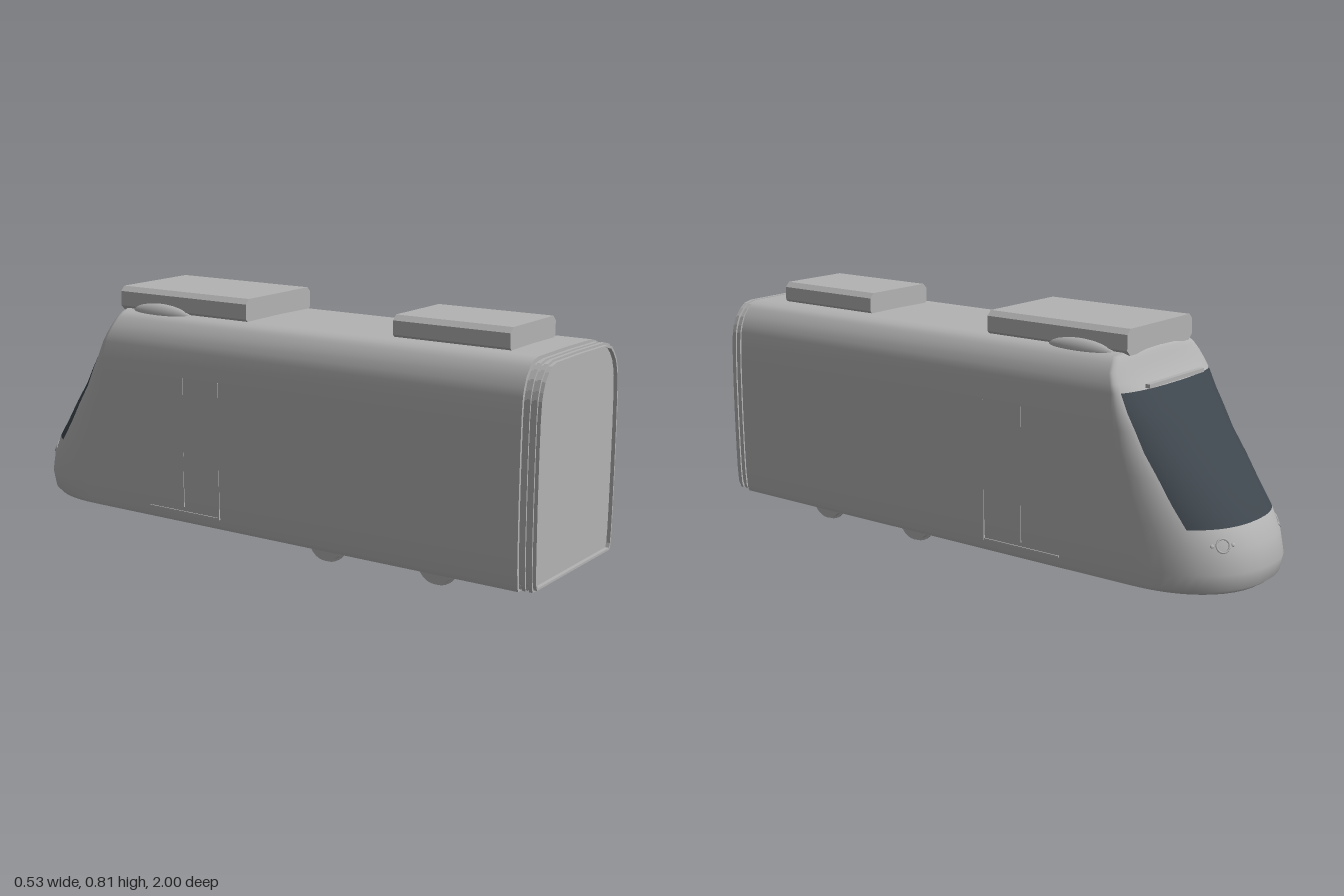
import * as THREE from 'three';

const grey = new THREE.MeshStandardMaterial({ color: 0xb3b3b3 });
grey.name = 'bodyGrey';
const glass = new THREE.MeshStandardMaterial({ color: 0x3f474e });
glass.name = 'windscreenDark';

// Body levels: height, half width, nose z, depth of the rounded nose corner
const LEVELS = [
  [0.065, 0.25, -0.97, 0.3], [0.08, 0.256, -0.99, 0.3], [0.13, 0.26, -1, 0.3],
  [0.2, 0.262, -0.985, 0.3], [0.26, 0.263, -0.952, 0.28], [0.33, 0.264, -0.9, 0.25],
  [0.4, 0.264, -0.848, 0.21], [0.47, 0.264, -0.79, 0.17], [0.53, 0.263, -0.745, 0.13],
  [0.58, 0.262, -0.705, 0.1], [0.635, 0.258, -0.66, 0.06], [0.66, 0.252, -0.642, 0.05],
  [0.69, 0.24, -0.625, 0.045], [0.715, 0.22, -0.614, 0.04], [0.73, 0.203, -0.607, 0.04],
  [0.738, 0.17, -0.602, 0.03], [0.74, 0, -0.6, 0.02],
];
const GLASS_LOW = 4, GLASS_HIGH = 10, BACK = 0.945;
const PILLAR = 5, SCREEN = 14;

const levelAt = (y) => {
  const i = LEVELS.findIndex((l) => l[0] > y);
  const a = LEVELS[i - 1], b = LEVELS[i];
  const k = (y - a[0]) / (b[0] - a[0]);
  return a.map((v, n) => v + (b[n] - v) * k);
};

// Superellipse plan of the nose; t runs from +90 to -90 degrees
const nosePoint = ([y, w, zf, depth], t) => new THREE.Vector3(
  Math.sign(t) * w * Math.pow(Math.abs(Math.sin(t)), 0.87),
  y,
  zf + depth * (1 - Math.pow(Math.max(0, Math.cos(t)), 0.87)),
);

// One horizontal outline of the body, from the back of one side round the nose
function outline(level) {
  const k = THREE.MathUtils.clamp((level[0] - 0.26) / 0.375, 0, 1);
  const edge = THREE.MathUtils.degToRad(55 + 14 * k), half = Math.PI / 2;
  const pts = [new THREE.Vector3(level[1], level[0], BACK)];
  for (let i = 0; i < PILLAR; i++) pts.push(nosePoint(level, half + (edge - half) * i / PILLAR));
  for (let i = 0; i <= SCREEN; i++) pts.push(nosePoint(level, edge - 2 * edge * i / SCREEN));
  for (let i = 1; i <= PILLAR; i++) pts.push(nosePoint(level, -edge - (half - edge) * i / PILLAR));
  pts.push(new THREE.Vector3(-level[1], level[0], BACK));
  return pts;
}

function shellGeometry() {
  const rings = LEVELS.map(outline), n = rings[0].length;
  const skin = [], screen = [];
  for (let i = 0; i < rings.length - 1; i++) {
    for (let j = 0; j < n - 1; j++) {
      const a = i * n + j, b = a + 1, c = b + n, d = a + n;
      const isGlass = i >= GLASS_LOW && i < GLASS_HIGH && j > PILLAR && j <= PILLAR + SCREEN;
      (isGlass ? screen : skin).push(a, b, c, a, c, d);
    }
  }
  const g = new THREE.BufferGeometry().setFromPoints(rings.flat());
  g.setIndex([...skin, ...screen]);
  g.addGroup(0, skin.length, 0);
  g.addGroup(skin.length, screen.length, 1);
  g.computeVertexNormals();
  return g;
}

// Cross-section of the car, scaled about its middle
function section(s, Type = THREE.Shape) {
  const right = LEVELS.map(([y, w]) => new THREE.Vector2(w * s, 0.405 + (y - 0.405) * s));
  const left = right.slice(0, -1).reverse().map((p) => new THREE.Vector2(-p.x, p.y));
  return new Type([...right, ...left]);
}

// Roof unit: chamfered outline extruded along z
function roofUnit(w, y0, y1, z0, z1) {
  const c = 0.016;
  const s = new THREE.Shape([
    [-w + c, y0], [w - c, y0], [w, y0 + c], [w, y1 - c],
    [w - c, y1], [-w + c, y1], [-w, y1 - c], [-w, y0 + c],
  ].map((p) => new THREE.Vector2(...p)));
  return new THREE.ExtrudeGeometry(s, { depth: z1 - z0, bevelEnabled: false }).translate(0, 0, z0);
}

export function createModel() {
  const model = new THREE.Group();
  model.name = 'railCar';
  const add = (name, geometry, x = 0, y = 0, z = 0, material = grey) => {
    const m = new THREE.Mesh(geometry, material);
    m.name = name;
    m.position.set(x, y, z);
    model.add(m);
    return m;
  };

  // Body shell with windscreen, floor and rear wall
  add('bodyShell', shellGeometry(), 0, 0, 0, [grey, glass]);
  const plan = new THREE.Shape(outline(LEVELS[0]).map((p) => new THREE.Vector2(p.x, p.z)));
  add('floor', new THREE.ShapeGeometry(plan).rotateX(Math.PI / 2), 0, LEVELS[0][0], 0);
  add('endWall', new THREE.ShapeGeometry(section(1)), 0, 0, BACK);

  // Gangway bellows and its recessed end panel
  [0.965, 0.985, 0.965, 0.985, 0.965].forEach((s, i) => {
    const ring = section(s);
    ring.holes.push(section(0.945, THREE.Path));
    add('gangwayRing', new THREE.ExtrudeGeometry(ring, { depth: 0.011, bevelEnabled: false }),
      0, 0, BACK + i * 0.011);
  });
  add('gangwayPanel', new THREE.ShapeGeometry(section(0.95)), 0, 0, 0.988);
  add('gangwaySill', new THREE.BoxGeometry(0.49, 0.012, 0.03), 0, 0.079, 0.96);

  // Roof equipment
  add('largeRoofUnit', roofUnit(0.177, 0.73, 0.81, -0.6, -0.08));
  add('smallRoofUnit', roofUnit(0.142, 0.73, 0.805, 0.445, 0.84));

  // Slim bar above the windscreen
  add('windscreenBar', new THREE.BoxGeometry(0.3, 0.012, 0.016), 0, 0.645, -0.656);

  for (const side of [1, -1]) {
    // Fairing beside the large roof unit
    add('roofFairing', new THREE.SphereGeometry(1, 20, 12).scale(0.03, 0.035, 0.12),
      side * 0.17, 0.732, -0.43);

    // Door seams
    const x = side * 0.261;
    add('doorSeam', new THREE.BoxGeometry(0.006, 0.45, 0.004), x, 0.325, -0.13);
    add('doorSeam', new THREE.BoxGeometry(0.006, 0.43, 0.004), x, 0.335, -0.275);
    add('doorSill', new THREE.BoxGeometry(0.006, 0.005, 0.29), side * 0.259, 0.103, -0.275);

    // Headlamp ring with a small lamp on each side
    const level = levelAt(0.215), above = levelAt(0.225);
    [[27, 0.006], [34.5, 0.02], [42, 0.006]].forEach(([deg, r], i) => {
      const t = side * THREE.MathUtils.degToRad(deg);
      const p = nosePoint(level, t);
      const across = nosePoint(level, t + 0.02).sub(p);
      const normal = nosePoint(above, t).sub(p).cross(across).normalize();
      if (normal.z > 0) normal.negate();
      const geometry = i === 1 ? new THREE.TorusGeometry(r, 0.003, 6, 24)
        : new THREE.SphereGeometry(r, 12, 8).scale(1, 1, 0.5);
      const lamp = add(i === 1 ? 'headlampRing' : 'smallLamp', geometry, p.x, p.y, p.z);
      lamp.lookAt(p.clone().add(normal));
    });

    // Wheels with inner flanges
    for (const z of [0.63, 0.23]) {
      add('wheel', new THREE.CylinderGeometry(0.061, 0.061, 0.026, 32).rotateZ(Math.PI / 2),
        side * 0.17, 0.07, z);
      add('wheelFlange', new THREE.CylinderGeometry(0.068, 0.068, 0.008, 32).rotateZ(Math.PI / 2),
        side * 0.161, 0.07, z);
    }
  }

  // Axles
  for (const z of [0.63, 0.23]) {
    add('axle', new THREE.CylinderGeometry(0.01, 0.01, 0.34, 12).rotateZ(Math.PI / 2), 0, 0.068, z);
  }
  return model;
}
